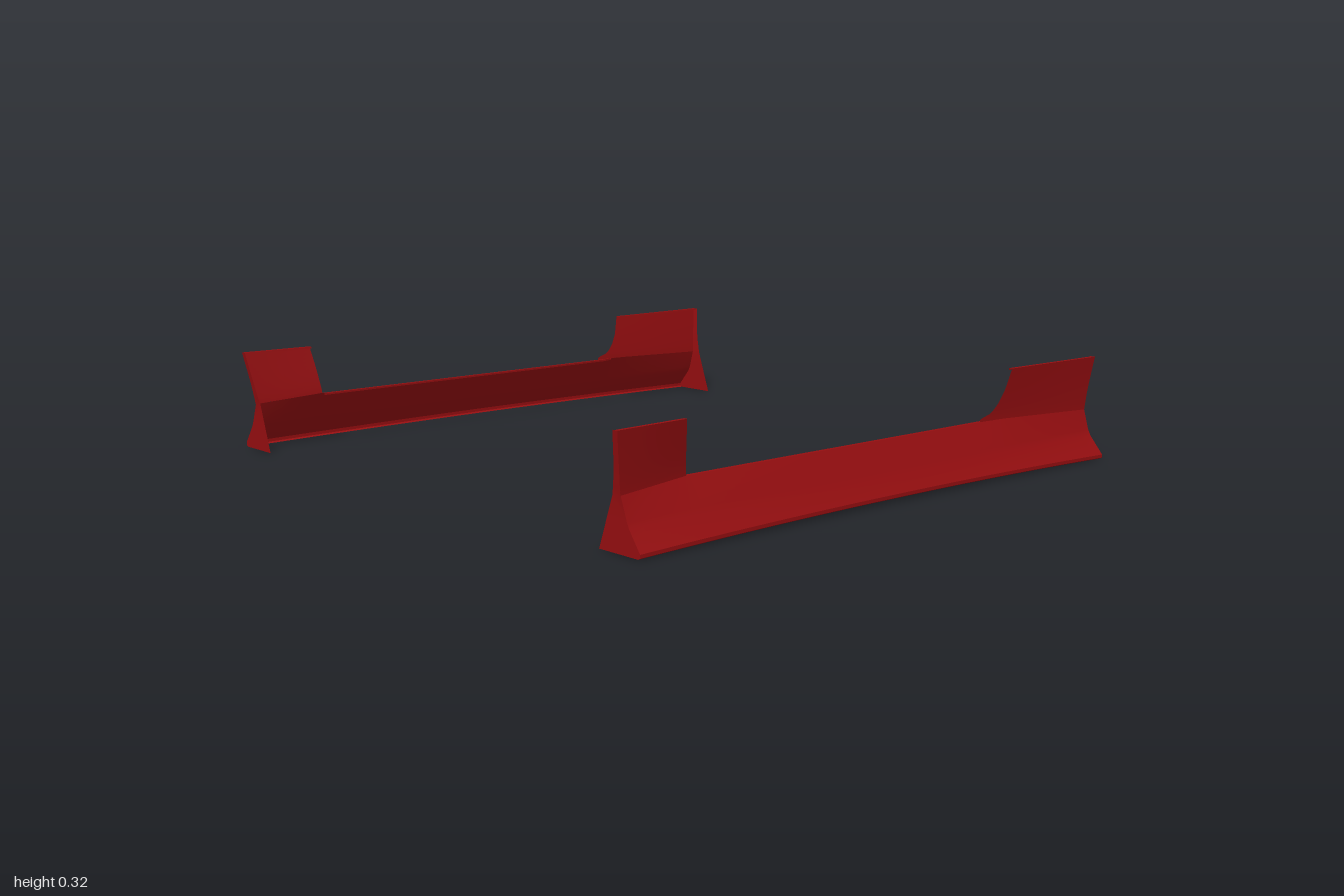
import * as THREE from 'three';
import { toCreasedNormals } from 'three/addons/utils/BufferGeometryUtils.js';

const material = new THREE.MeshStandardMaterial({ color: 0x960e10, side: THREE.DoubleSide });
const FRONT = 0.96, REAR = -0.97;

// Piecewise linear lookup through [t, value] pairs
function lookup(pairs, t) {
  if (t <= pairs[0][0]) return pairs[0][1];
  for (let i = 1; i < pairs.length; i++) {
    const [a, va] = pairs[i - 1], [b, vb] = pairs[i];
    if (t <= b) return va + (vb - va) * (t - a) / (b - a);
  }
  return pairs[pairs.length - 1][1];
}

// Skin through rows of [x, y, z] points, mirrored by side
function skin(name, rows, side, flip = false) {
  const n = rows[0].length, index = [];
  for (let i = 0; i < rows.length - 1; i++) {
    for (let j = 0; j < n - 1; j++) {
      const a = i * n + j, b = a + 1, c = a + n, d = c + 1;
      if ((side > 0) !== flip) index.push(a, b, c, b, d, c);
      else index.push(a, c, b, b, c, d);
    }
  }
  const geometry = new THREE.BufferGeometry();
  geometry.setAttribute('position', new THREE.Float32BufferAttribute(
    rows.flat().flatMap(([x, y, z]) => [x * side, y, z]), 3));
  geometry.setIndex(index);
  const mesh = new THREE.Mesh(toCreasedNormals(geometry, 0.35), material);
  mesh.name = name;
  return mesh;
}

// Upper fold line and lower lip of the sill along its length
const foldX = z => lookup([[REAR, 0.925], [-0.58, 0.91], [-0.48, 0.905], [0.72, 0.9], [FRONT, 0.92]], z);
const foldY = z => lookup([[REAR, 0.15], [-0.55, 0.165], [0.72, 0.165], [FRONT, 0.15]], z);
const lipX = z => 0.983 + 0.016 * (z / 0.97) ** 2 - (z > 0 ? 0.006 * z : 0);
const lipY = z => 0.01 * (1 - (z / 0.97) ** 2);

function sillSection(z) {
  const x = lipX(z), y = lipY(z);
  return [
    [x - 0.008, y, z], [x, y + 0.004, z], [x, y + 0.014, z],
    [0.952, 0.07, z], [0.943, 0.088, z], [foldX(z), foldY(z), z]
  ];
}

// Fin outlines: z of the end edge and of the edge facing the middle, by height
const fins = {
  front: {
    end: [[0.15, FRONT], [0.22, 0.971], [0.32, 0.99]],
    inner: [[0.15, 0.724], [0.2, 0.731], [0.25, 0.738], [0.32, 0.75]]
  },
  rear: {
    end: [[0.15, REAR], [0.22, -0.976], [0.32, -0.99]],
    inner: [[0.165, -0.465], [0.173, -0.5], [0.185, -0.52], [0.21, -0.542],
      [0.25, -0.562], [0.32, -0.58]]
  }
};

function finPoint(fin, u, v) {
  const yNominal = 0.155 + 0.165 * v;
  const z = THREE.MathUtils.lerp(lookup(fin.inner, yNominal), lookup(fin.end, yNominal), u);
  const y = THREE.MathUtils.lerp(foldY(z), 0.32, v);
  const topX = 0.932 + 0.012 * u;
  const x = THREE.MathUtils.lerp(foldX(z), topX, v ** 1.25);
  return [x, y, z];
}

function createSide(side) {
  const group = new THREE.Group();
  group.name = side > 0 ? 'leftSkirt' : 'rightSkirt';

  // Long folded sill
  const rows = [];
  for (let i = 0; i <= 40; i++) rows.push(sillSection(REAR + (FRONT - REAR) * i / 40));
  group.add(skin('sill', rows, side, true));

  // Narrow return along the top of the sill between the fins
  const rim = [-0.53, -0.48, -0.2, 0.2, 0.5, 0.724].map(z => {
    const x = foldX(z), y = foldY(z), w = z < -0.5 ? 0.002 : 0.012;
    return [[x, y, z], [x - w, y, z], [x - w, y - 0.006, z]];
  });
  group.add(skin('topRim', rim, side, true));

  for (const [name, fin] of Object.entries(fins)) {
    // Upright fin
    const finRows = [];
    for (let i = 0; i <= 16; i++) {
      const v = (i / 16) ** 1.5;
      finRows.push([0, 0.25, 0.5, 0.75, 1].map(u => finPoint(fin, u, v)));
    }
    group.add(skin(name + 'Fin', finRows, side, name === 'front'));

    // Rolled edge along the top of the fin
    const topEdge = [0, 0.5, 1].map(u => {
      const [x, y, z] = finPoint(fin, u, 1);
      return [[x, y, z], [x - 0.012, y, z], [x - 0.013, y - 0.006, z]];
    });
    group.add(skin(name + 'FinRim', topEdge, side, name === 'rear'));

    // End plate: broad foot narrowing into a return along the fin edge
    const endZ = fin.end[0][1];
    const plate = sillSection(endZ).map(([x, y, z]) => [[0.835 + 0.36 * y, y, z], [x, y, z]]);
    for (let i = 1; i <= 8; i++) {
      const [x, y, z] = finPoint(fin, 1, i / 8);
      plate.push([[lookup([[0.15, 0.889], [0.2, 0.903], [0.25, 0.913], [0.32, 0.925]], y), y, z], [x, y, z]]);
    }
    group.add(skin(name + 'EndPlate', plate, side, name === 'rear'));
  }
  return group;
}

export function createModel() {
  const model = new THREE.Group();
  model.name = 'sideSkirts';
  model.add(createSide(1), createSide(-1));
  return model;
}
